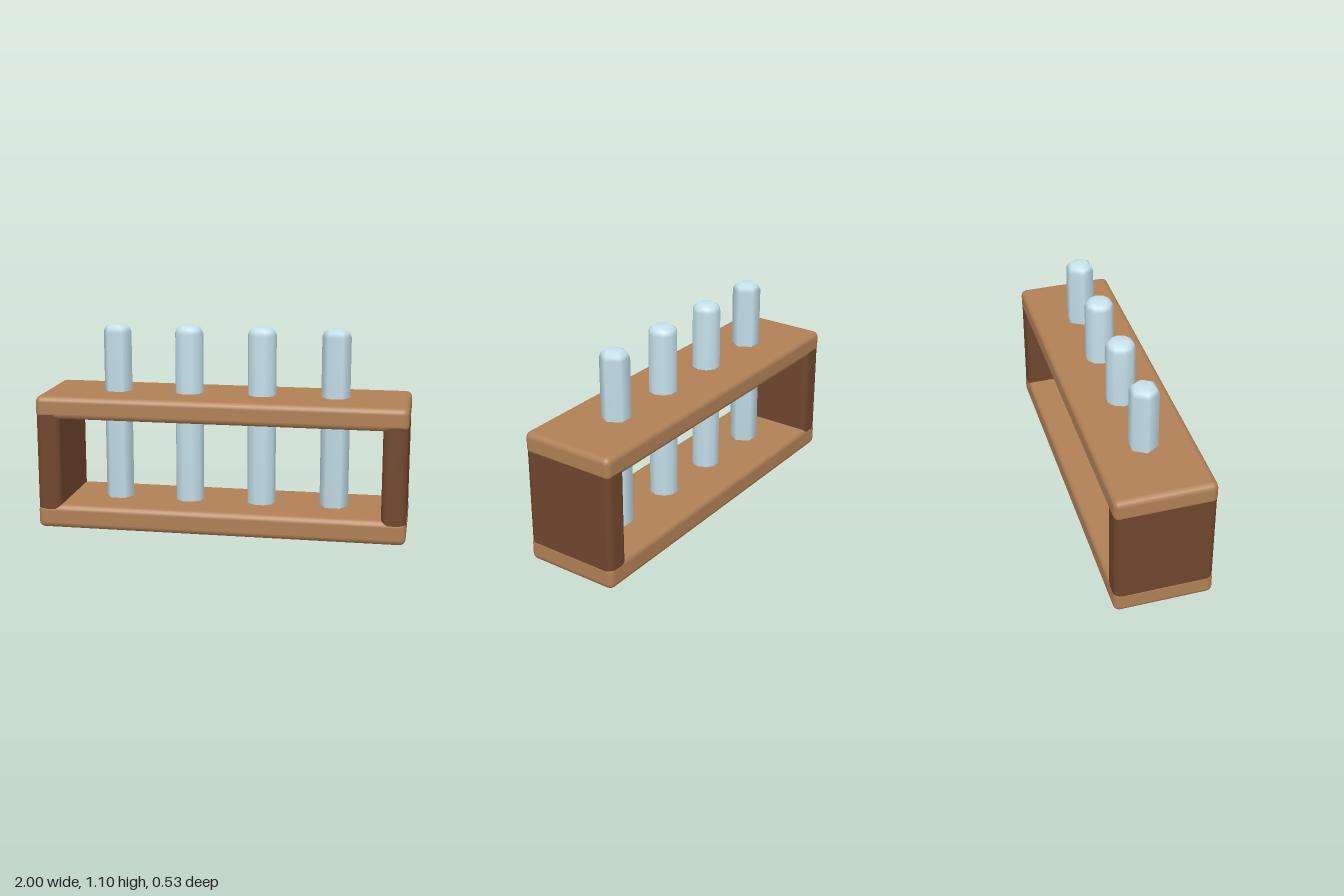
import * as THREE from 'three';
import { RoundedBoxGeometry } from 'three/addons/geometries/RoundedBoxGeometry.js';

export function createModel() {
  const model = new THREE.Group();
  const boardWood = new THREE.MeshStandardMaterial({ color: 0xb08055 });
  const panelWood = new THREE.MeshStandardMaterial({ color: 0x70462d });
  const glass = new THREE.MeshStandardMaterial({ color: 0xc6e2ec });

  const block = (name, size, x, y, material) => {
    const mesh = new THREE.Mesh(new RoundedBoxGeometry(...size, 2, 0.033), material);
    mesh.name = name;
    mesh.position.set(x, y, 0);
    model.add(mesh);
  };

  // Horizontal boards
  block('bottomBoard', [2, 0.132, 0.53], 0, 0.066, boardWood);
  block('topBoard', [2, 0.125, 0.53], 0, 0.6725, boardWood);

  // End panels, a hair inside the boards so the faces do not coincide
  block('leftPanel', [0.13, 0.731, 0.526], 0.933, 0.3675, panelWood);
  block('rightPanel', [0.13, 0.731, 0.526], -0.933, 0.3675, panelWood);

  // Tubes with rounded tops; the outer pair is six-sided
  const profile = [
    [0, 0.08], [0.078, 0.08], [0.078, 1.06], [0.068, 1.085], [0.045, 1.1], [0, 1.1],
  ].map(([r, y]) => new THREE.Vector2(r, y));
  [[-0.6, 6], [-0.2, 10], [0.2, 10], [0.6, 6]].forEach(([x, sides], i) => {
    const tube = new THREE.Mesh(new THREE.LatheGeometry(profile, sides, Math.PI / 2), glass);
    tube.name = `tube${i + 1}`;
    tube.position.x = x;
    model.add(tube);
  });

  return model;
}
